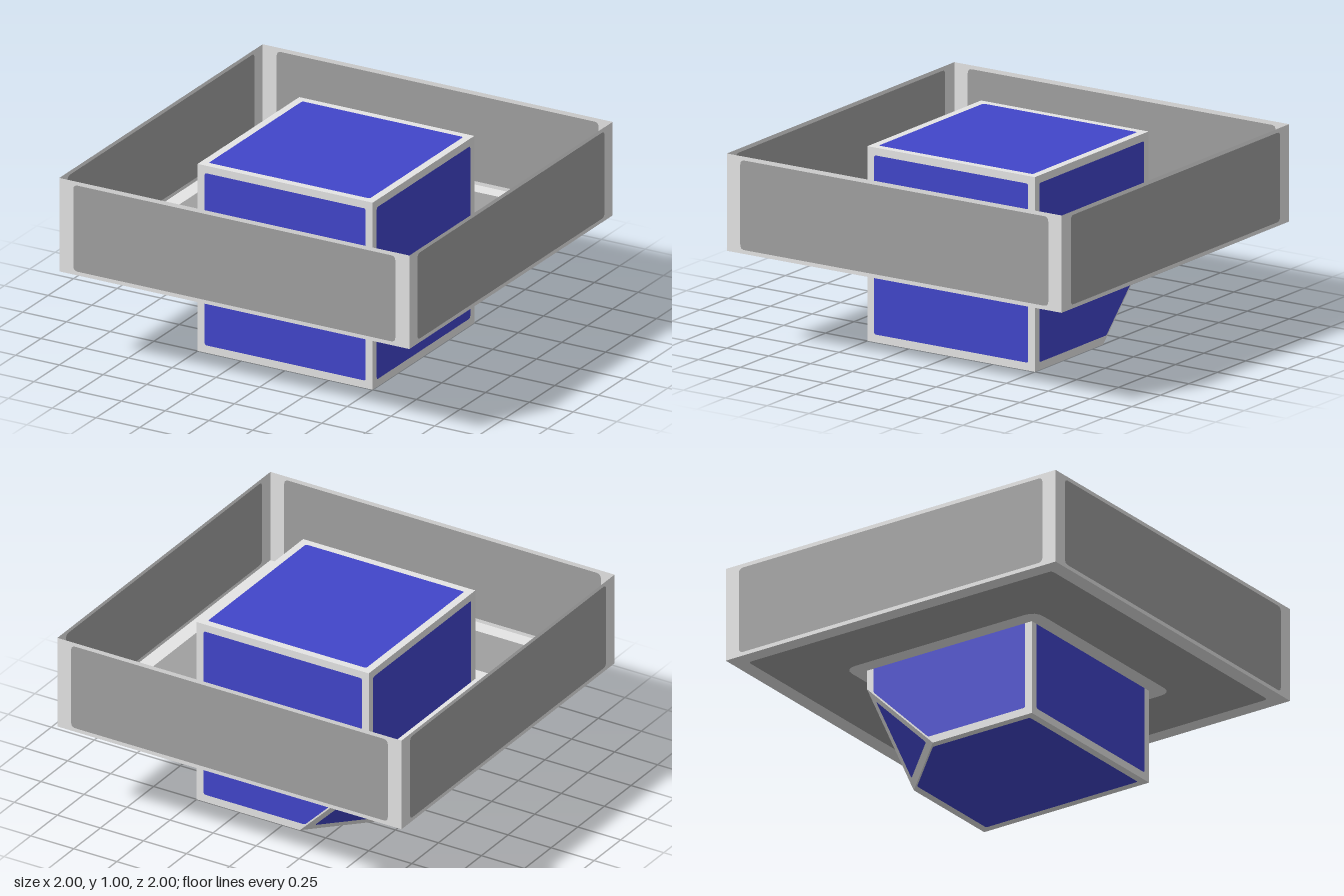
import * as THREE from 'three';

const edgeMat = new THREE.MeshStandardMaterial({ color: 0xe4e4e4, side: THREE.DoubleSide });
edgeMat.name = 'light grey edging';
const greyMat = new THREE.MeshStandardMaterial({ color: 0xa0a0a0, side: THREE.DoubleSide });
greyMat.name = 'grey panel';
const blueMat = new THREE.MeshStandardMaterial({ color: 0x4145ca, side: THREE.DoubleSide });
blueMat.name = 'blue panel';

// Move every edge of a convex counter-clockwise polygon inwards
function insetPolygon(pts, insets) {
  const n = pts.length;
  const lines = pts.map((p, i) => {
    const d = pts[(i + 1) % n].clone().sub(p).normalize();
    const normal = new THREE.Vector2(-d.y, d.x);
    return { p: p.clone().addScaledVector(normal, insets[i % insets.length]), d };
  });
  return lines.map((b, i) => {
    const a = lines[(i + n - 1) % n];
    const t = b.p.clone().sub(a.p).cross(b.d) / a.d.cross(b.d);
    return a.p.clone().addScaledVector(a.d, t);
  });
}

// Trace a polygon with small rounded corners
function roundedPath(pts, radius, path) {
  const n = pts.length;
  pts.forEach((p, i) => {
    const toward = (q) => p.clone().addScaledVector(q.clone().sub(p).normalize(), radius);
    const a = toward(pts[(i + n - 1) % n]);
    const b = toward(pts[(i + 1) % n]);
    if (i === 0) path.moveTo(a.x, a.y);
    else path.lineTo(a.x, a.y);
    path.quadraticCurveTo(p.x, p.y, b.x, b.y);
  });
  path.closePath();
  return path;
}

function addShape(parent, name, shape, material) {
  const mesh = new THREE.Mesh(new THREE.ShapeGeometry(shape, 4), material);
  mesh.name = name;
  parent.add(mesh);
}

// Flat face: a light frame around an inset coloured panel
function framedFace(name, corners, insets, radius, material) {
  const c = corners.map((p) => new THREE.Vector3(...p));
  const u = c[1].clone().sub(c[0]).normalize();
  const w = c[c.length - 1].clone().sub(c[0]);
  const n = u.clone().cross(w).normalize();
  const v = n.clone().cross(u);
  const flat = c.map((p) => {
    const d = p.clone().sub(c[0]);
    return new THREE.Vector2(d.dot(u), d.dot(v));
  });
  const inner = insetPolygon(flat, insets);

  const group = new THREE.Group();
  group.name = name;
  const frame = new THREE.Shape(flat);
  frame.holes.push(roundedPath(inner, radius, new THREE.Path()));
  addShape(group, name + 'Frame', frame, edgeMat);
  addShape(group, name + 'Panel', roundedPath(inner, radius, new THREE.Shape()), material);
  group.applyMatrix4(new THREE.Matrix4().makeBasis(u, v, n).setPosition(c[0]));
  return group;
}

function square(half) {
  return [[-half, -half], [half, -half], [half, half], [-half, half]]
    .map(([x, y]) => new THREE.Vector2(x, y));
}

// Tray floor sheet: outer edging, grey panel, inner edging around the box
function floorSheet(name, y, innerRadius) {
  const floor = new THREE.Group();
  floor.name = name;
  const outerEdge = new THREE.Shape(square(1));
  outerEdge.holes.push(roundedPath(square(0.92), 0.02, new THREE.Path()));
  const panel = roundedPath(square(0.92), 0.02, new THREE.Shape());
  panel.holes.push(roundedPath(square(0.58), innerRadius, new THREE.Path()));
  const innerEdge = roundedPath(square(0.58), innerRadius, new THREE.Shape());
  innerEdge.holes.push(new THREE.Path(square(0.5)));
  addShape(floor, name + 'OuterEdge', outerEdge, edgeMat);
  addShape(floor, name + 'Panel', panel, greyMat);
  addShape(floor, name + 'InnerEdge', innerEdge, edgeMat);
  floor.rotation.x = -Math.PI / 2;
  floor.position.y = y;
  return floor;
}

export function createModel() {
  const model = new THREE.Group();
  model.name = 'boxInTray';

  // Central box with one bottom corner cut off; edging is narrow along the cut
  const box = new THREE.Group();
  box.name = 'centralBox';
  const s = 0.5, k = -0.1, h = 0.4;
  const e = 0.04, cut = 0.008;
  const faces = [
    ['boxFront', [[-s, 0, s], [s, 0, s], [s, 1, s], [-s, 1, s]], [e]],
    ['boxLeft', [[s, 0, s], [s, 0, -s], [s, 1, -s], [s, 1, s]], [e]],
    ['boxBack', [[s, 0, -s], [k, 0, -s], [-s, h, -s], [-s, 1, -s], [s, 1, -s]], [e, cut, e, e, e]],
    ['boxRight', [[-s, 0, k], [-s, 0, s], [-s, 1, s], [-s, 1, -s], [-s, h, -s]], [e, e, e, e, cut]],
    ['boxTop', [[-s, 1, s], [s, 1, s], [s, 1, -s], [-s, 1, -s]], [e]],
    ['boxBottom', [[s, 0, s], [-s, 0, s], [-s, 0, k], [k, 0, -s], [s, 0, -s]], [e, e, cut, e, e]],
    ['cutCorner', [[k, 0, -s], [-s, 0, k], [-s, h, -s]], [e]],
  ];
  for (const [name, corners, insets] of faces) {
    box.add(framedFace(name, corners, insets, 0.012, blueMat));
  }
  model.add(box);

  // Open tray: four thin walls
  const tray = new THREE.Group();
  tray.name = 'tray';
  ['frontWall', 'leftWall', 'backWall', 'rightWall'].forEach((name, i) => {
    const turn = new THREE.Group();
    turn.name = name + 'Side';
    turn.rotation.y = i * Math.PI / 2;
    turn.add(framedFace(name, [[-1, 0.5, 1], [1, 0.5, 1], [1, 1, 1], [-1, 1, 1]],
      [0.02, 0.08], 0.025, greyMat));
    tray.add(turn);
  });

  // Floor seen from inside, and its underside with rounder inner edging
  tray.add(floorSheet('trayFloor', 0.502, 0.02));
  tray.add(floorSheet('trayUnderside', 0.5, 0.07));
  model.add(tray);

  return model;
}
